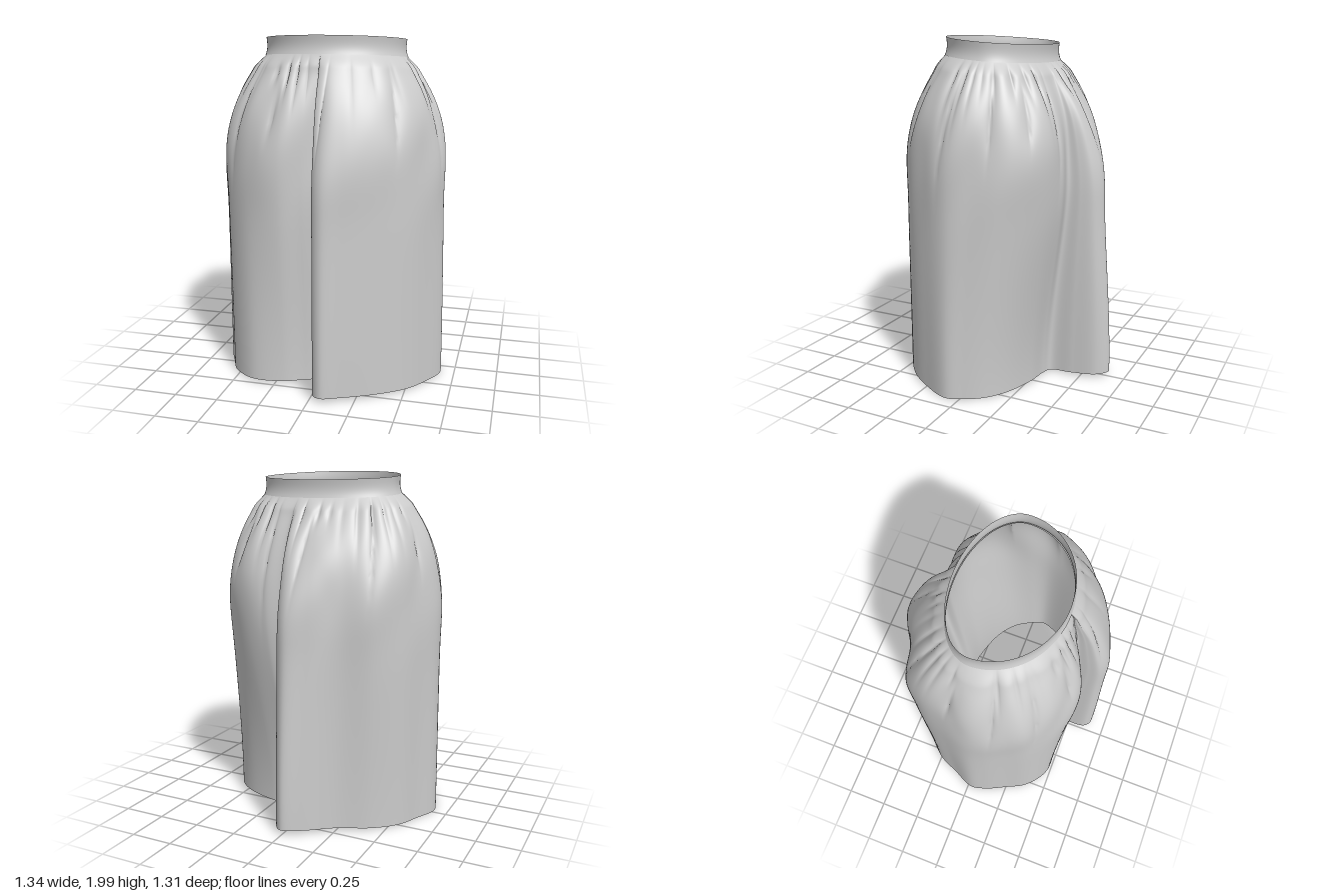
import * as THREE from 'three';

// Matching [x, z] outlines: the hem, and the fullest hip shape.
// Both run from the front pleat round +x, the back pleat and -x.
const HEM = [
  [0.02, 0.38], [0.01, 0.52], [0.02, 0.62], [0.07, 0.655], [0.17, 0.61], [0.35, 0.505],
  [0.5, 0.385], [0.595, 0.25], [0.67, 0.08], [0.635, -0.02], [0.57, -0.12], [0.455, -0.205],
  [0.27, -0.27], [0.14, -0.29], [0.085, -0.315], [0.08, -0.45], [0.06, -0.6], [0, -0.655],
  [-0.1, -0.6], [-0.25, -0.47], [-0.43, -0.37], [-0.55, -0.25], [-0.61, -0.12], [-0.67, 0.02],
  [-0.65, 0.12], [-0.59, 0.25], [-0.52, 0.38], [-0.38, 0.48], [-0.2, 0.47], [-0.08, 0.41],
];
const HIP = [
  [0, 0.46], [0.005, 0.53], [0.015, 0.59], [0.07, 0.62], [0.18, 0.585], [0.355, 0.5],
  [0.505, 0.385], [0.59, 0.25], [0.65, 0.07], [0.625, -0.08], [0.58, -0.21], [0.5, -0.315],
  [0.38, -0.405], [0.22, -0.445], [0.1, -0.43], [0.085, -0.49], [0.06, -0.55], [0, -0.58],
  [-0.12, -0.54], [-0.28, -0.47], [-0.45, -0.405], [-0.56, -0.28], [-0.62, -0.13], [-0.655, 0.02],
  [-0.645, 0.12], [-0.6, 0.24], [-0.54, 0.36], [-0.4, 0.48], [-0.2, 0.535], [-0.08, 0.495],
];
const BAND_H = 0.1;

const outline = (pts) =>
  new THREE.CatmullRomCurve3(pts.map(([x, z]) => new THREE.Vector3(x, 0, z)), true, 'centripetal');

// Egg-shaped waist, flatter at the back, and the tilted top edge of the band
const waist = (a) => {
  const s = Math.sin(a);
  return new THREE.Vector3(0.41 * Math.cos(a), 0, -0.01 + (s > 0 ? 0.365 : 0.245) * s);
};
const waistTop = (z) => 1.973 + 0.075 * z;

const { lerp, clamp, smoothstep } = THREE.MathUtils;
const bell = (y, centre, width) => Math.exp(-(((y - centre) / width) ** 2));
// Rounded puffs parted by creases, averaging about zero
const puff = (t) => Math.sqrt(Math.abs(Math.sin(t))) - 0.76;

// Closed tube surface from a point rule; rows run upwards
function loft(name, cols, rows, pointAt, material) {
  const pos = [], index = [];
  for (let j = 0; j <= rows; j++) {
    for (let i = 0; i < cols; i++) pos.push(...pointAt(i / cols, j / rows).toArray());
  }
  for (let j = 0; j < rows; j++) {
    for (let i = 0; i < cols; i++) {
      const a = j * cols + i, b = j * cols + ((i + 1) % cols);
      index.push(a, b, b + cols, a, b + cols, a + cols);
    }
  }
  const geo = new THREE.BufferGeometry();
  geo.setAttribute('position', new THREE.Float32BufferAttribute(pos, 3));
  geo.setIndex(index);
  geo.computeVertexNormals();
  const mesh = new THREE.Mesh(geo, material);
  mesh.name = name;
  return mesh;
}

export function createModel() {
  const group = new THREE.Group();
  group.name = 'gatheredSkirt';
  const cloth = new THREE.MeshStandardMaterial({ color: 0xcccccc, side: THREE.DoubleSide });
  const hemCurve = outline(HEM), hipCurve = outline(HIP);

  // Skirt cloth: hem eases into hip, hip rounds over into waist (fuller at the sides)
  const skirtPoint = (u, v) => {
    const hem = hemCurve.getPoint(u), hip = hipCurve.getPoint(u);
    const a = Math.atan2(hip.z, hip.x);
    const top = waist(a);
    const y0 = 0.01 + 0.03 * (hem.z / 0.65) ** 2;
    const y1 = waistTop(top.z) - BAND_H + 0.005;
    const y = lerp(y0, y1, 1 - (1 - v) ** 1.5);
    const p = hem.lerp(hip, smoothstep(y, 0, 1.45));
    const roundness = 2.5 + 0.7 * Math.cos(a) ** 2;
    p.lerp(top, clamp((y - 1.08) / (y1 - 1.08), 0, 1) ** roundness);

    // Gathers of uneven depth and length under the band, over broad soft folds
    const drop = 0.05 * Math.sin(5 * a + 1) + 0.04 * Math.sin(11 * a);
    const depth = 0.022 + 0.012 * Math.sin(4 * a + 2 * Math.sin(3 * a));
    const narrow = puff(14 * a + 2.2 * Math.sin(3 * a + 0.5) + 0.9 * Math.sin(7 * a)) * depth * bell(y, 1.79, 0.13 + drop);
    const broad = puff(6 * a + Math.sin(2 * a + 1) + 0.8 * y) * 0.035 * bell(y, 1.58, 0.2 + drop);
    const soft = Math.sin(7 * a + 5 * y + Math.sin(3 * a)) * 0.01 * bell(y, 1.35, 0.25);
    const lip = 0.01 * bell(y, y1 - 0.04, 0.05);
    const d = Math.min(1, (y1 - y) / 0.07) * (narrow + broad + soft + lip);
    p.x += d * Math.cos(a);
    p.z += d * Math.sin(a);
    p.y = y;
    return p;
  };
  group.add(loft('skirtCloth', 420, 100, skirtPoint, cloth));

  // Waistband: upright strip, slightly pinched and flaring at its lower edge
  const bandPoint = (u, v) => {
    const a = Math.PI / 2 - u * Math.PI * 2;
    const p = waist(a);
    const y = waistTop(p.z) - BAND_H * (1 - v);
    const d = 0.008 * (1 - v) ** 4 - 0.004 * Math.sin(Math.PI * v);
    return p.set(p.x + d * Math.cos(a), y, p.z + d * Math.sin(a));
  };
  group.add(loft('waistband', 120, 8, bandPoint, cloth));

  return group;
}
